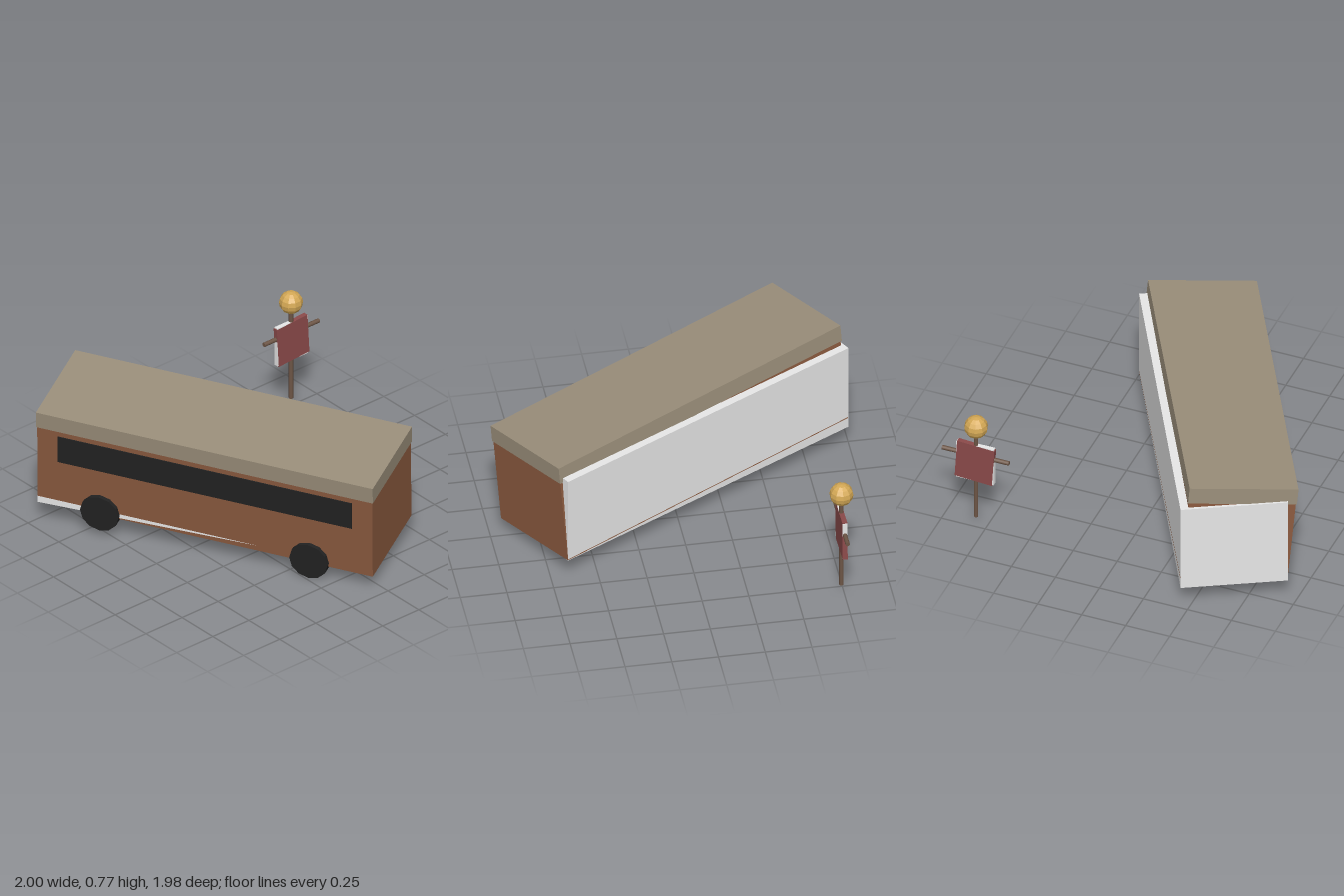
import * as THREE from 'three';

const mat = (name, color, flatShading = false) => {
  const m = new THREE.MeshStandardMaterial({ color, flatShading });
  m.name = name;
  return m;
};

export function createModel() {
  const rust = mat('rustBrown', 0x8b5a3f);
  const roofTan = mat('roofTan', 0x9a8e7a);
  const dark = mat('darkRubberAndGlass', 0x222222, true);
  const white = mat('plainWhite', 0xf6f6f6);
  const wood = mat('wood', 0x6e5646);
  const red = mat('shirtRed', 0x8b4a4a);
  const straw = mat('strawYellow', 0xd4a855, true);

  const model = new THREE.Group();
  const add = (parent, name, geometry, material, x, y, z) => {
    const mesh = new THREE.Mesh(geometry, material);
    mesh.name = name;
    mesh.position.set(x, y, z);
    parent.add(mesh);
    return mesh;
  };
  const box = (w, h, d) => new THREE.BoxGeometry(w, h, d);

  // Listing bus, turned and sunk to one side
  const bus = new THREE.Group();
  bus.name = 'bus';
  bus.position.set(-0.254, 0.132, -0.029);
  bus.rotation.set(0.03, 0.5, 0.095, 'YXZ');
  model.add(bus);
  add(bus, 'busBody', box(0.57, 0.51, 1.89), rust, 0, 0.255, 0);
  add(bus, 'busRoof', box(0.58, 0.096, 1.9), roofTan, 0, 0.537, 0);
  add(bus, 'windowStrip', box(0.008, 0.166, 1.66), dark, -0.286, 0.373, 0);

  // Wheels remain on one side only
  for (const z of [0.59, -0.59]) {
    const wheel = add(bus, 'wheel', new THREE.CylinderGeometry(0.108, 0.108, 0.065, 12), dark, -0.275, 0.022, z);
    wheel.rotation.z = Math.PI / 2;
  }

  // Upright block overlapping the bus
  const block = add(model, 'whiteBlock', box(0.57, 0.517, 1.89), white, -0.256, 0.386, -0.029);
  block.rotation.y = 0.5;

  // Scarecrow
  const scarecrow = new THREE.Group();
  scarecrow.name = 'scarecrow';
  scarecrow.position.set(0.808, 0, -0.735);
  model.add(scarecrow);
  add(scarecrow, 'post', new THREE.CylinderGeometry(0.012, 0.012, 0.55, 8), wood, 0, 0.333, 0);
  const arm = add(scarecrow, 'crossArm', new THREE.CylinderGeometry(0.012, 0.012, 0.38, 8), wood, 0.002, 0.46, 0);
  arm.rotation.z = Math.PI / 2;
  const shirt = add(scarecrow, 'shirt', box(0.212, 0.232, 0.027), red, 0.004, 0.415, 0);
  shirt.rotation.z = 0.06;
  add(scarecrow, 'shirtLining', box(0.212, 0.232, 0.025), white, 0.002, 0.415, 0);
  add(scarecrow, 'head', new THREE.SphereGeometry(0.064, 10, 8), straw, 0, 0.65, 0);

  return model;
}
